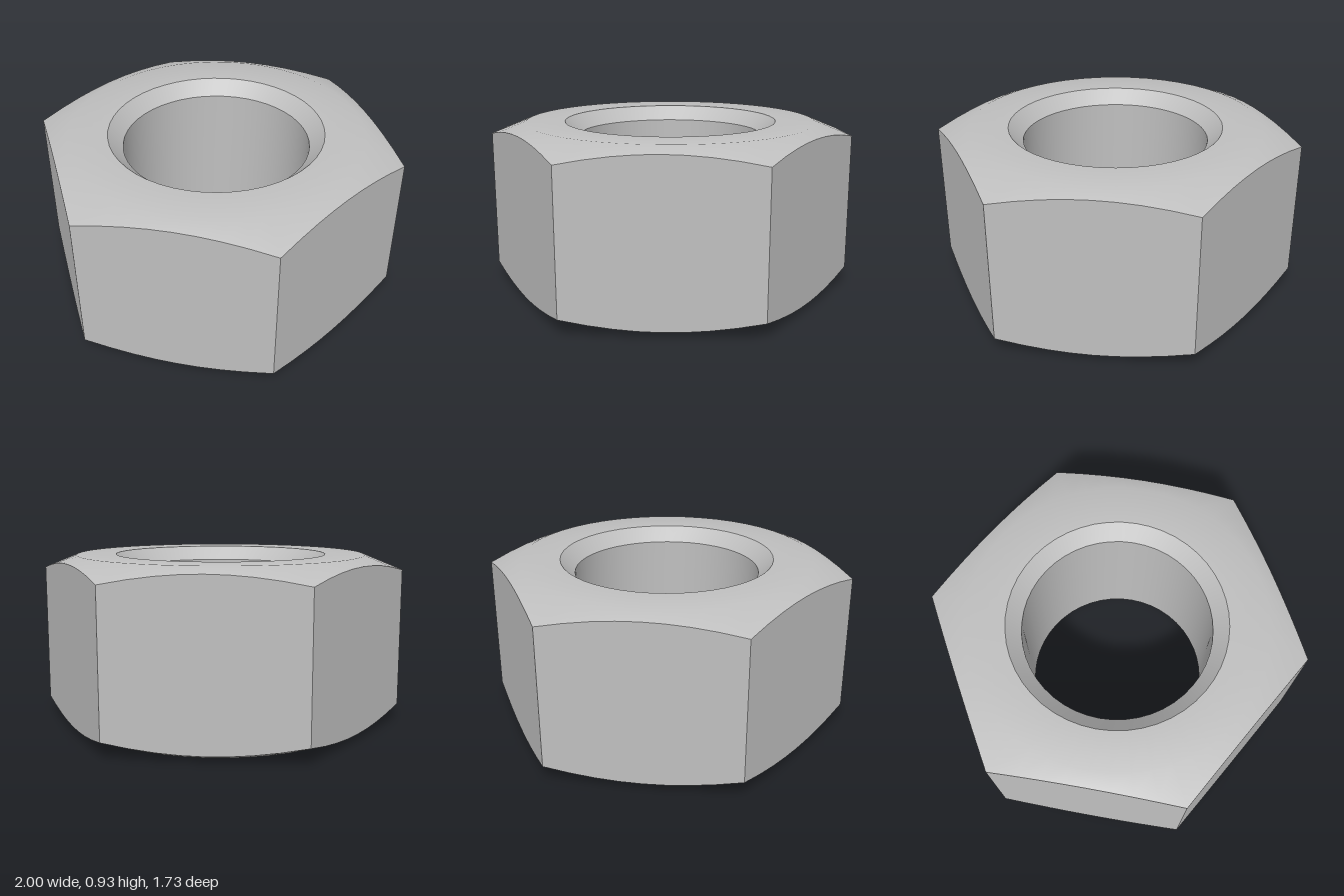
import * as THREE from 'three';
import { toCreasedNormals } from 'three/addons/utils/BufferGeometryUtils.js';

const HEIGHT = 0.925;      // overall thickness
const BORE = 0.5;          // hole radius
const SINK = 0.077;        // 45 degree countersink at both ends of the hole
const FLAT = 0.79;         // radius where the outer chamfer cone starts
const SLOPE = 0.405;       // drop of the chamfer cone per unit of radius
const SEGMENTS = 48;       // multiple of six, so the corners fall on a segment

// Radius of the hexagon outline at an angle, with corners on the x axis
function hexRadius(angle) {
  const sector = Math.PI / 3;
  return Math.cos(sector / 2) / Math.cos((angle % sector) - sector / 2);
}

// Skin a list of closed loops; each loop maps an angle to [radius, y]
function loft(loops) {
  const positions = [];
  const index = [];
  loops.forEach((loop, j) => {
    for (let i = 0; i < SEGMENTS; i++) {
      const angle = (i / SEGMENTS) * Math.PI * 2;
      const [r, y] = loop(angle);
      positions.push(r * Math.cos(angle), y, -r * Math.sin(angle));
      if (j === 0) continue;
      const next = (i + 1) % SEGMENTS;
      const a = (j - 1) * SEGMENTS + i, b = (j - 1) * SEGMENTS + next;
      const c = j * SEGMENTS + next, d = j * SEGMENTS + i;
      index.push(a, b, c, a, c, d);
    }
  });
  const geometry = new THREE.BufferGeometry();
  geometry.setAttribute('position', new THREE.Float32BufferAttribute(positions, 3));
  geometry.setIndex(index);
  return toCreasedNormals(geometry, Math.PI / 6);
}

export function createModel() {
  const steel = new THREE.MeshStandardMaterial({ color: 0xbfbfbf });
  steel.name = 'steel grey';
  const nut = new THREE.Group();
  nut.name = 'hexNut';

  const add = (name, loops) => {
    const mesh = new THREE.Mesh(loft(loops), steel);
    mesh.name = name;
    nut.add(mesh);
  };

  // Loops shared by neighbouring parts
  const circle = (r, y) => () => [r, y];
  const drop = (r) => (r - FLAT) * SLOPE;
  const topEdge = (t) => [hexRadius(t), HEIGHT - drop(hexRadius(t))];
  const bottomEdge = (t) => [hexRadius(t), drop(hexRadius(t))];
  const topRim = circle(BORE + SINK, HEIGHT);
  const bottomRim = circle(BORE + SINK, 0);
  const boreTop = circle(BORE, HEIGHT - SINK);
  const boreBottom = circle(BORE, SINK);

  // Six flat sides with curved upper and lower edges
  add('hexSides', [bottomEdge, topEdge]);

  // End faces, blending into the chamfer cone
  add('topFace', [topEdge, circle(FLAT, HEIGHT), topRim]);
  add('bottomFace', [bottomRim, circle(FLAT, 0), bottomEdge]);

  // Hole with a countersink at each end
  add('topCountersink', [topRim, boreTop]);
  add('bore', [boreTop, boreBottom]);
  add('bottomCountersink', [boreBottom, bottomRim]);

  return nut;
}
